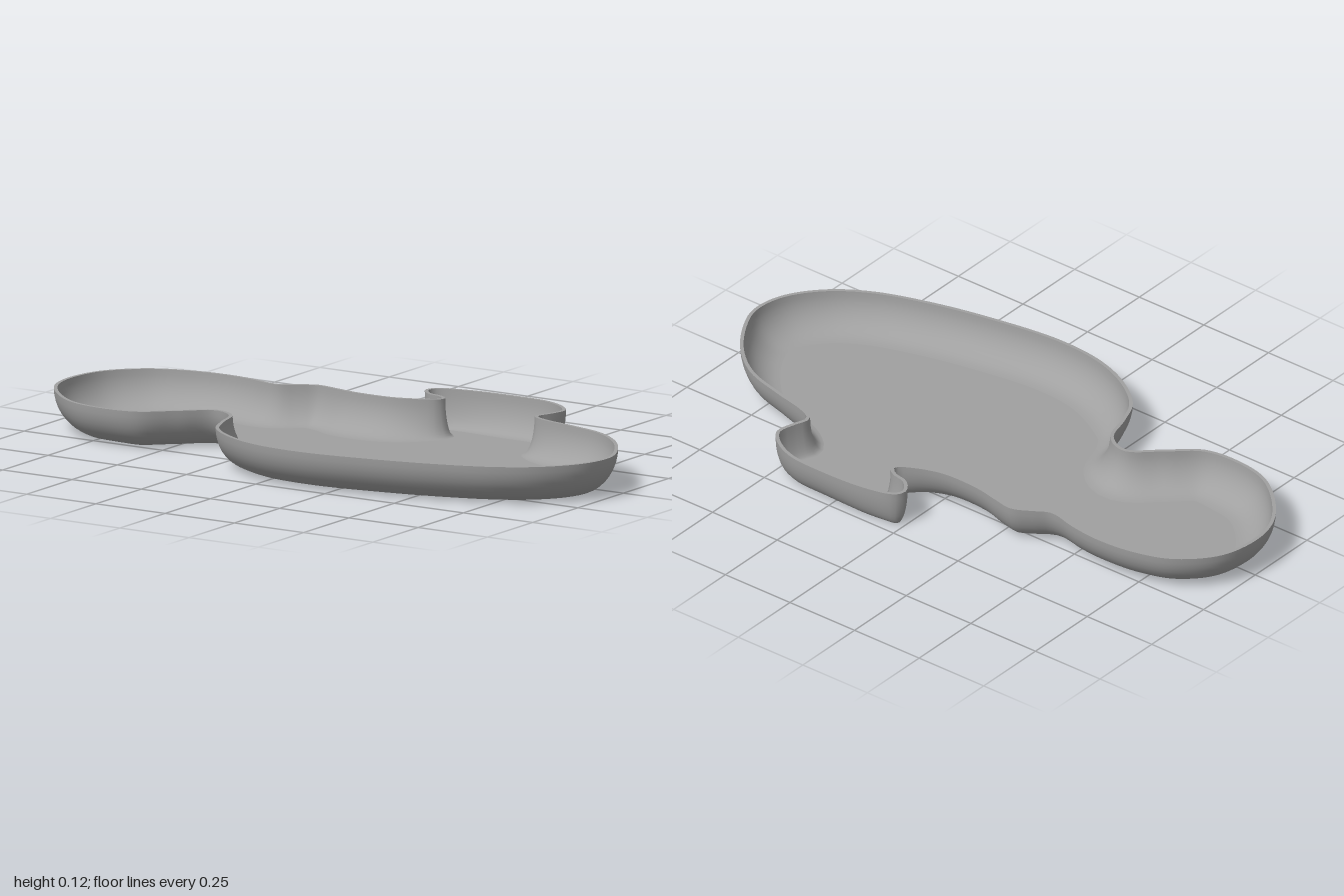
import * as THREE from 'three';

const HEIGHT = 0.122, THICK = 0.011, SAMPLES = 300, STEPS = 10;

// Rim control points, clockwise from above: x, z, width of the curved wall
const RIM = [
  [-1, 0, .11], [-.97, -.13, .11], [-.87, -.235, .11], [-.75, -.28, .11], [-.62, -.293, .11],
  [-.52, -.283, .1], [-.42, -.263, .09], [-.37, -.29, .08], [-.31, -.32, .08], [-.24, -.31, .08],
  [-.16, -.295, .1], [-.03, -.295, .1], [.06, -.325, .07], [.108, -.36, .03], [.085, -.382, .025],
  [.035, -.395, .03], [-.002, -.44, .03], [.01, -.475, .035], [.1, -.505, .05], [.28, -.516, .07],
  [.4, -.506, .065], [.48, -.465, .05], [.515, -.42, .04], [.505, -.36, .03], [.49, -.31, .035],
  [.53, -.284, .06], [.65, -.255, .09], [.78, -.215, .1], [.88, -.14, .11], [.96, -.03, .11],
  [.998, .07, .11], [.98, .18, .11], [.9, .29, .11], [.78, .372, .11], [.6, .437, .11],
  [.4, .483, .11], [.17, .514, .11], [0, .5, .11], [-.13, .45, .11], [-.23, .37, .1],
  [-.27, .28, .08], [-.3, .19, .08], [-.37, .157, .1], [-.46, .225, .1], [-.56, .305, .1],
  [-.68, .32, .11], [-.8, .295, .11], [-.91, .21, .11], [-.98, .11, .11],
];

export function createModel() {
  const grey = new THREE.MeshStandardMaterial({ color: 0xa0a0a0 });
  grey.name = 'grey';
  const group = new THREE.Group();
  group.name = 'tray';

  const curve = new THREE.CatmullRomCurve3(RIM.map((p) => new THREE.Vector3(...p)), true, 'centripetal');
  curve.arcLengthDivisions = 1500;
  const pts = curve.getSpacedPoints(SAMPLES).slice(0, SAMPLES);

  // Inward direction at each rim sample, from a chord across its neighbours
  const inward = pts.map((_, i) => {
    const a = pts[(i + SAMPLES - 2) % SAMPLES], b = pts[(i + 2) % SAMPLES];
    return new THREE.Vector2(a.y - b.y, b.x - a.x).normalize();
  });

  // Point at sample i, an absolute inset plus a fraction of the wall width
  const at = (i, inset, fraction) => {
    const p = pts[i], d = inset + fraction * p.z;
    return [p.x + inward[i].x * d, p.y + inward[i].y * d];
  };

  // Closed band swept round the rim; profile rows are [inset, fraction, y]
  function addBand(name, profile) {
    const pos = [], index = [];
    profile.forEach(([inset, fraction, y]) => {
      for (let i = 0; i < SAMPLES; i++) {
        const [x, z] = at(i, inset, fraction);
        pos.push(x, y, z);
      }
    });
    for (let k = 0; k < profile.length - 1; k++) {
      for (let i = 0; i < SAMPLES; i++) {
        const j = (i + 1) % SAMPLES, a = k * SAMPLES, b = a + SAMPLES;
        index.push(a + i, a + j, b + i, a + j, b + j, b + i);
      }
    }
    const geo = new THREE.BufferGeometry();
    geo.setAttribute('position', new THREE.Float32BufferAttribute(pos, 3));
    geo.setIndex(index);
    geo.computeVertexNormals();
    addMesh(name, geo);
  }

  function addMesh(name, geo) {
    const mesh = new THREE.Mesh(geo, grey);
    mesh.name = name;
    group.add(mesh);
  }

  // Flat sheet filling the foot of a wall; side is 1 facing up, -1 facing down
  function addFloor(name, inset, y, side) {
    const outline = pts.map((_, i) => {
      const [x, z] = at(i, inset, 1);
      return new THREE.Vector2(x, -side * z);
    });
    const geo = new THREE.ShapeGeometry(new THREE.Shape(outline));
    geo.rotateX(-side * Math.PI / 2);
    geo.translate(0, y, 0);
    addMesh(name, geo);
  }

  // Quarter-ellipse wall from the rim down to a floor level
  const wall = (inset, floorY) => Array.from({ length: STEPS + 1 }, (_, k) => {
    const t = (k / STEPS) * Math.PI / 2;
    return [inset, 1 - Math.cos(t), HEIGHT - (HEIGHT - floorY) * Math.sin(t)];
  });

  addBand('outerWall', wall(0, 0));
  addBand('innerWall', wall(THICK, THICK / 2).reverse());
  addBand('rim', [[THICK, 0, HEIGHT], [0, 0, HEIGHT]]);
  addFloor('floor', THICK, THICK / 2, 1);
  addFloor('underside', 0, 0, -1);
  return group;
}
